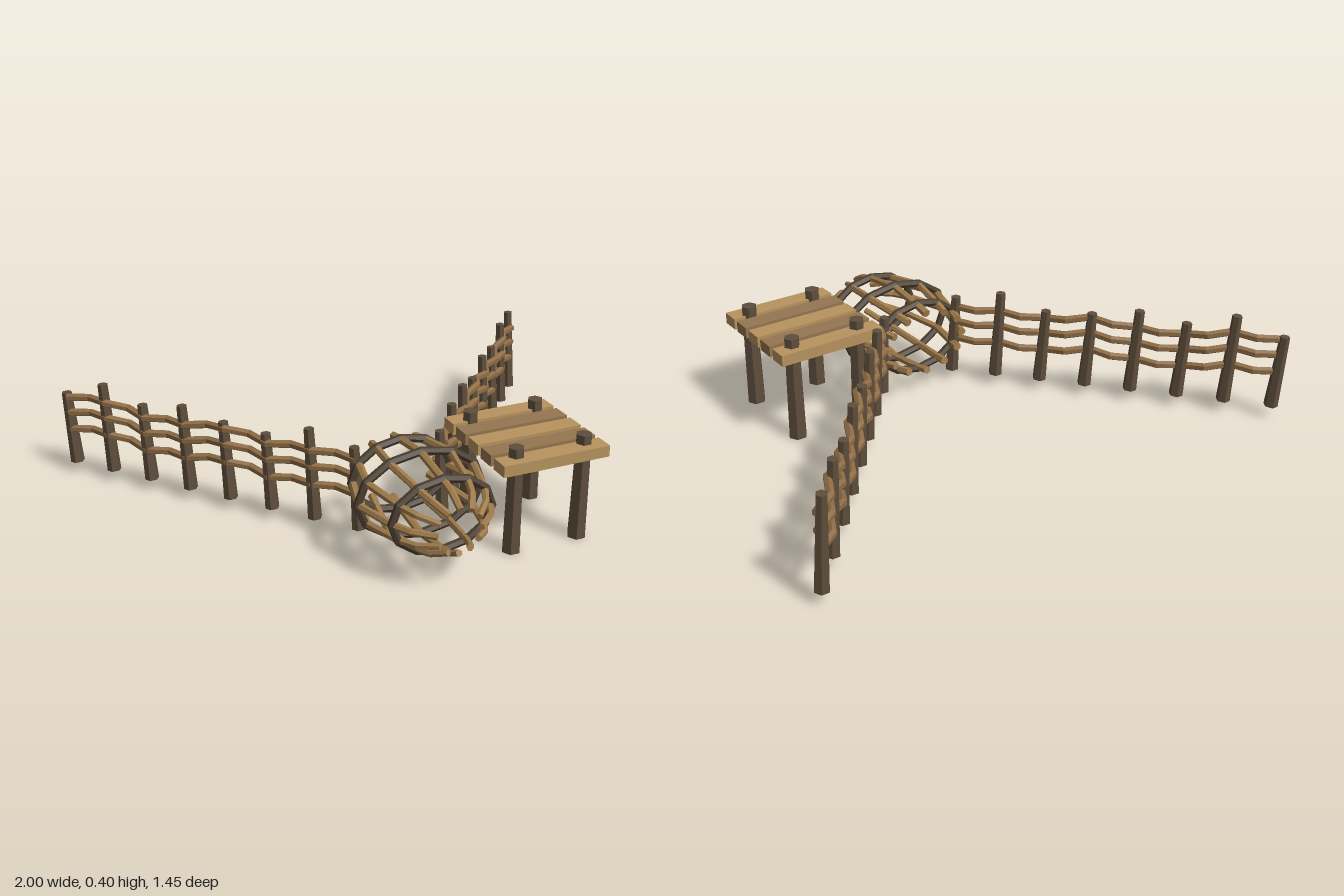
import * as THREE from 'three';

const mat = (name, color, side = THREE.FrontSide) => {
  const m = new THREE.MeshStandardMaterial({ color, flatShading: true, side });
  m.name = name;
  return m;
};
const V = (x, y, z) => new THREE.Vector3(x, y, z);

// Faceted stick swept along a bent path; radius(t) tapers it, ref steadies the cross-section
function sweep(pts, radius, ref, sides = 6, closed = false) {
  const n = pts.length, pos = [], idx = [];
  pts.forEach((p, i) => {
    const a = closed ? pts[(i + n - 1) % n] : pts[Math.max(i - 1, 0)];
    const b = closed ? pts[(i + 1) % n] : pts[Math.min(i + 1, n - 1)];
    const t = b.clone().sub(a).normalize();
    const u = ref.clone().addScaledVector(t, -ref.dot(t)).normalize();
    const w = t.clone().cross(u);
    const r = radius(i / (n - 1));
    for (let k = 0; k < sides; k++) {
      const ang = (k / sides) * Math.PI * 2;
      const q = p.clone().addScaledVector(u, Math.cos(ang) * r).addScaledVector(w, Math.sin(ang) * r);
      pos.push(q.x, q.y, q.z);
    }
  });
  const spans = closed ? n : n - 1;
  for (let i = 0; i < spans; i++) {
    const j = (i + 1) % n;
    for (let k = 0; k < sides; k++) {
      const l = (k + 1) % sides;
      const a = i * sides + k, b = i * sides + l, c = j * sides + k, d = j * sides + l;
      idx.push(a, b, c, b, d, c);
    }
  }
  if (!closed) {
    const e = (n - 1) * sides;
    for (let k = 1; k < sides - 1; k++) idx.push(0, k + 1, k, e, e + k, e + k + 1);
  }
  const g = new THREE.BufferGeometry();
  g.setAttribute('position', new THREE.Float32BufferAttribute(pos, 3));
  g.setIndex(idx);
  const flat = g.toNonIndexed();
  flat.computeVertexNormals();
  return flat;
}

export function createModel() {
  const root = new THREE.Group();
  root.name = 'fishWeir';
  const postMat = mat('dark post wood', 0x5e4e3c);
  const railMat = mat('woven rail wood', 0x8e6c45);
  const ribMat = mat('basket rib wood', 0xa17c4c);
  const ringMat = mat('basket hoop wood', 0x4c3f31);
  const plankLight = mat('light plank', 0xb8935f);
  const plankDark = mat('weathered plank', 0x957650);

  const add = (parent, name, geo, m) => {
    const mesh = new THREE.Mesh(geo, m);
    mesh.name = name;
    parent.add(mesh);
    return mesh;
  };

  // Two fence wings opening towards the back
  const fence = (side, name, tops) => {
    const wing = new THREE.Group();
    wing.name = name;
    root.add(wing);
    const at = i => V(side * (0.165 + 0.1155 * i), 0, 0.245 - 0.1355 * i);
    tops.forEach((top, i) => {
      const p = at(i);
      const path = [V(p.x + 0.004, 0.045, p.z + 0.008), V(p.x - 0.006, top, p.z - 0.008)];
      add(wing, 'fencePost', sweep(path, t => 0.027 - 0.008 * t, V(1, 0, 0)), postMat);
    });
    // Rails weave in and out between the posts
    const wave = [0, 0, -0.01, 0.013, -0.008, -0.014, 0.014, 0.004];
    const inward = V(-side * 0.76, 0, -0.65);
    [0.315, 0.252, 0.182].forEach((y, r) => {
      const path = [];
      for (let h = 0; h <= 14; h++) {
        const p = at(h / 2);
        p.addScaledVector(inward, h % 2 ? 0.015 : -0.01);
        const i = Math.floor(h / 2);
        p.y = y + (h % 2 ? (wave[i] + wave[i + 1]) / 2 : wave[i]);
        path.push(p);
      }
      add(wing, 'fenceRail' + (r + 1), sweep(path, () => 0.0155, V(0, 1, 0)), railMat);
    });
  };
  fence(1, 'leftFence', [0.36, 0.39, 0.395, 0.355, 0.38, 0.355, 0.395, 0.39]);
  fence(-1, 'rightFence', [0.36, 0.395, 0.34, 0.35, 0.38, 0.35, 0.4, 0.335]);

  // Barrel-shaped trap basket lying along z
  const basket = new THREE.Group();
  basket.name = 'trapBasket';
  basket.position.y = 0.23;
  root.add(basket);
  const profile = [ // z, half width, half height
    [0.19, 0.165, 0.12], [0.255, 0.185, 0.133], [0.415, 0.23, 0.153],
    [0.585, 0.18, 0.128], [0.65, 0.145, 0.112], [0.71, 0.08, 0.08],
  ];
  const RIBS = 12;
  const around = (k, [z, rx, ry], out = 0) => {
    const a = (k / RIBS) * Math.PI * 2;
    return V(Math.cos(a) * (rx + out), Math.sin(a) * (ry + out), z);
  };
  for (let k = 0; k < RIBS; k++) {
    const a = (k / RIBS) * Math.PI * 2;
    const path = profile.map(s => around(k, s));
    add(basket, 'basketRib', sweep(path, t => 0.016 - 0.004 * t, V(Math.cos(a), Math.sin(a), 0)), ribMat);
  }
  for (const s of profile.slice(1, 4)) {
    const path = [];
    for (let k = 0; k < RIBS; k++) path.push(around(k, s, 0.006));
    add(basket, 'basketHoop', sweep(path, () => 0.015, V(0, 0, 1), 6, true), ringMat);
  }

  // Standing platform beside the basket
  const platform = new THREE.Group();
  platform.name = 'platform';
  root.add(platform);
  for (let i = 0; i < 5; i++) {
    const plank = add(platform, 'plank', new THREE.BoxGeometry(0.415, 0.042, 0.072), i % 2 ? plankDark : plankLight);
    plank.position.set(0.427, 0.348, 0.19 + 0.0932 * i);
  }
  for (const x of [0.297, 0.565]) for (const z of [0.208, 0.54]) {
    const leg = add(platform, 'platformLeg', new THREE.CylinderGeometry(0.029, 0.035, 0.403, 6), postMat);
    leg.rotation.y = Math.PI / 2;
    leg.position.set(x, 0.2015, z);
  }
  return root;
}
